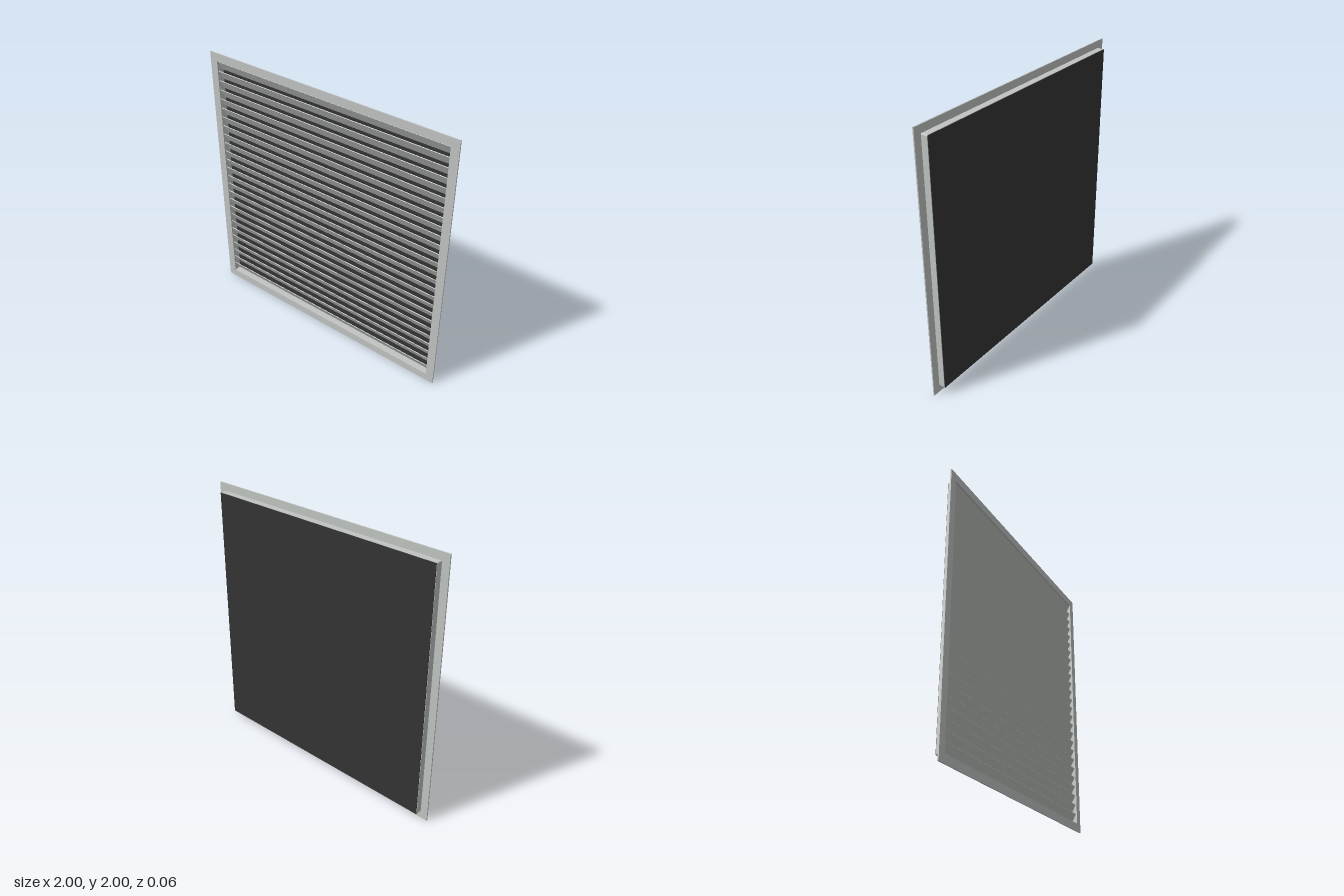
import * as THREE from 'three';

const metal = new THREE.MeshStandardMaterial({ name: 'galvanised grey', color: 0xc0c4c1 });
const dark = new THREE.MeshStandardMaterial({ name: 'dark mesh', color: 0x343434 });

// Square outline with small rounded corners, half-width h
function square(h, r, Type = THREE.Shape) {
  const s = new Type();
  if (r === 0) {
    s.moveTo(-h, -h).lineTo(h, -h).lineTo(h, h).lineTo(-h, h).closePath();
    return s;
  }
  s.absarc(h - r, h - r, r, 0, Math.PI / 2);
  s.absarc(-h + r, h - r, r, Math.PI / 2, Math.PI);
  s.absarc(-h + r, -h + r, r, Math.PI, Math.PI * 1.5);
  s.absarc(h - r, -h + r, r, Math.PI * 1.5, Math.PI * 2);
  s.closePath();
  return s;
}

// Square ring from z0 to z1, centred at y = 1
function ring(name, outer, inner, r, z0, z1) {
  const shape = square(outer, r);
  shape.holes.push(square(inner, 0, THREE.Path));
  const geo = new THREE.ExtrudeGeometry(shape, { depth: z1 - z0, bevelEnabled: false, curveSegments: 3 });
  geo.translate(0, 1, z0);
  const mesh = new THREE.Mesh(geo, metal);
  mesh.name = name;
  return mesh;
}

export function createModel() {
  const model = new THREE.Group();
  model.name = 'louvreVent';

  // Flat front flange and the shallow duct behind it
  model.add(ring('flange', 1, 0.94, 0, 0.021, 0.03));
  model.add(ring('duct', 0.945, 0.94, 0.008, -0.026, 0.021));

  // Dark backing sheet
  const back = new THREE.Mesh(new THREE.BoxGeometry(1.884, 1.884, 0.004), dark);
  back.name = 'backScreen';
  back.position.set(0, 1, -0.028);
  model.add(back);

  // Sloping slats: front edge high, rear edge low
  const count = 26, pitch = 0.072, half = pitch / 2, t = 0.003;
  const profile = new THREE.Shape();
  profile.moveTo(-0.02, -half + t).lineTo(-0.02 + t, -half);
  profile.lineTo(0.022, half - t).lineTo(0.022 - t, half).closePath();
  const slatGeo = new THREE.ExtrudeGeometry(profile, { depth: 1.88, bevelEnabled: false });
  slatGeo.translate(0, 0, -0.94);
  slatGeo.rotateY(-Math.PI / 2); // profile x becomes z
  const slats = new THREE.Group();
  slats.name = 'slats';
  for (let i = 0; i < count; i++) {
    const slat = new THREE.Mesh(slatGeo, metal);
    slat.name = 'slat';
    slat.position.y = 1 + (i - (count - 1) / 2) * pitch;
    slats.add(slat);
  }
  model.add(slats);
  return model;
}
